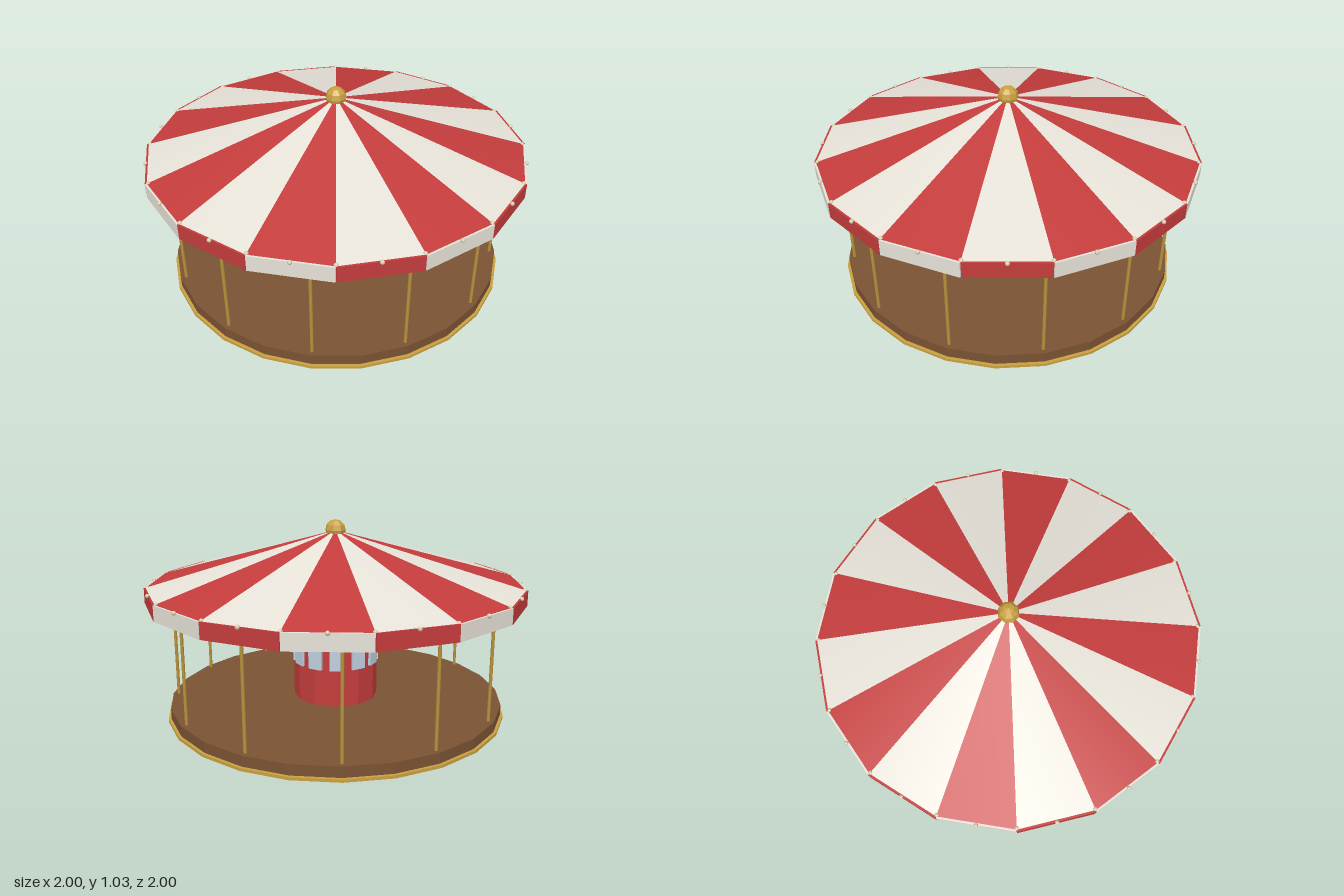
import * as THREE from 'three';

const material = (color, extra = {}) => new THREE.MeshStandardMaterial({ color, ...extra });

export function createModel() {
  const model = new THREE.Group();
  model.name = 'carousel';

  const red = material(0xc43c3c);
  const cream = material(0xe6e2d8);
  const redCloth = material(0xc43c3c, { side: THREE.DoubleSide });
  const creamCloth = material(0xe6e2d8, { side: THREE.DoubleSide });
  const redFlat = material(0xc43c3c, { flatShading: true });
  const brown = material(0x7a5233, { flatShading: true });
  const gold = material(0xc9a040, { flatShading: true });
  const brass = material(0xb8923c);
  const glass = material(0xbfd0e0);
  const bulbGlass = material(0xd8d0b0);

  const add = (name, geometry, mat, x, y, z, turn = 0, parent = model) => {
    const mesh = new THREE.Mesh(geometry, mat);
    mesh.name = name;
    mesh.position.set(x, y, z);
    mesh.rotation.y = turn;
    parent.add(mesh);
    return mesh;
  };

  // Repeats one part around the vertical axis, each copy facing outwards
  const ring = (name, count, radius, y, geometry, pickMaterial, offset = 0) => {
    const group = new THREE.Group();
    group.name = name + 'Ring';
    for (let i = 0; i < count; i++) {
      const a = ((i + offset) / count) * Math.PI * 2;
      add(name, geometry, pickMaterial(i), Math.sin(a) * radius, y, Math.cos(a) * radius, a, group);
    }
    model.add(group);
  };

  // Round floor with a gold rim at the bottom
  add('platform', new THREE.CylinderGeometry(0.9, 0.9, 0.06, 24), brown, 0, 0.04, 0);
  add('platformTrim', new THREE.CylinderGeometry(0.915, 0.915, 0.015, 24), gold, 0, 0.0075, 0);

  // Central drum with mirrors
  add('centreColumn', new THREE.CylinderGeometry(0.228, 0.228, 0.6, 12), redFlat, 0, 0.37, 0);
  ring('mirror', 12, 0.222, 0.365, new THREE.BoxGeometry(0.077, 0.19, 0.02), () => glass);

  // Poles between the floor and the roof
  ring('pole', 12, 0.87, 0.38, new THREE.CylinderGeometry(0.0085, 0.0085, 0.62, 8), () => brass);

  // Striped roof, one wedge per stripe
  const stripes = 16;
  const step = (Math.PI * 2) / stripes;
  const roof = new THREE.Group();
  roof.name = 'roof';
  for (let i = 0; i < stripes; i++) {
    const wedge = new THREE.ConeGeometry(0.99, 0.275, 1, 1, true, i * step, step);
    add('roofStripe', wedge, i % 2 ? creamCloth : redCloth, 0, 0.8375, 0, 0, roof);
  }
  model.add(roof);

  // Valance boards below the eave, in the opposite colours
  ring('valancePanel', stripes, 0.971, 0.66, new THREE.BoxGeometry(0.386, 0.08, 0.02),
    (i) => (i % 2 ? red : cream), 0.5);

  // Small bulbs along the eave
  ring('bulb', stripes * 2, 0.983, 0.7, new THREE.SphereGeometry(0.011, 8, 6), () => bulbGlass);

  // Gold ball on the peak
  add('finial', new THREE.SphereGeometry(0.055, 8, 6), gold, 0, 0.977, 0);

  return model;
}
